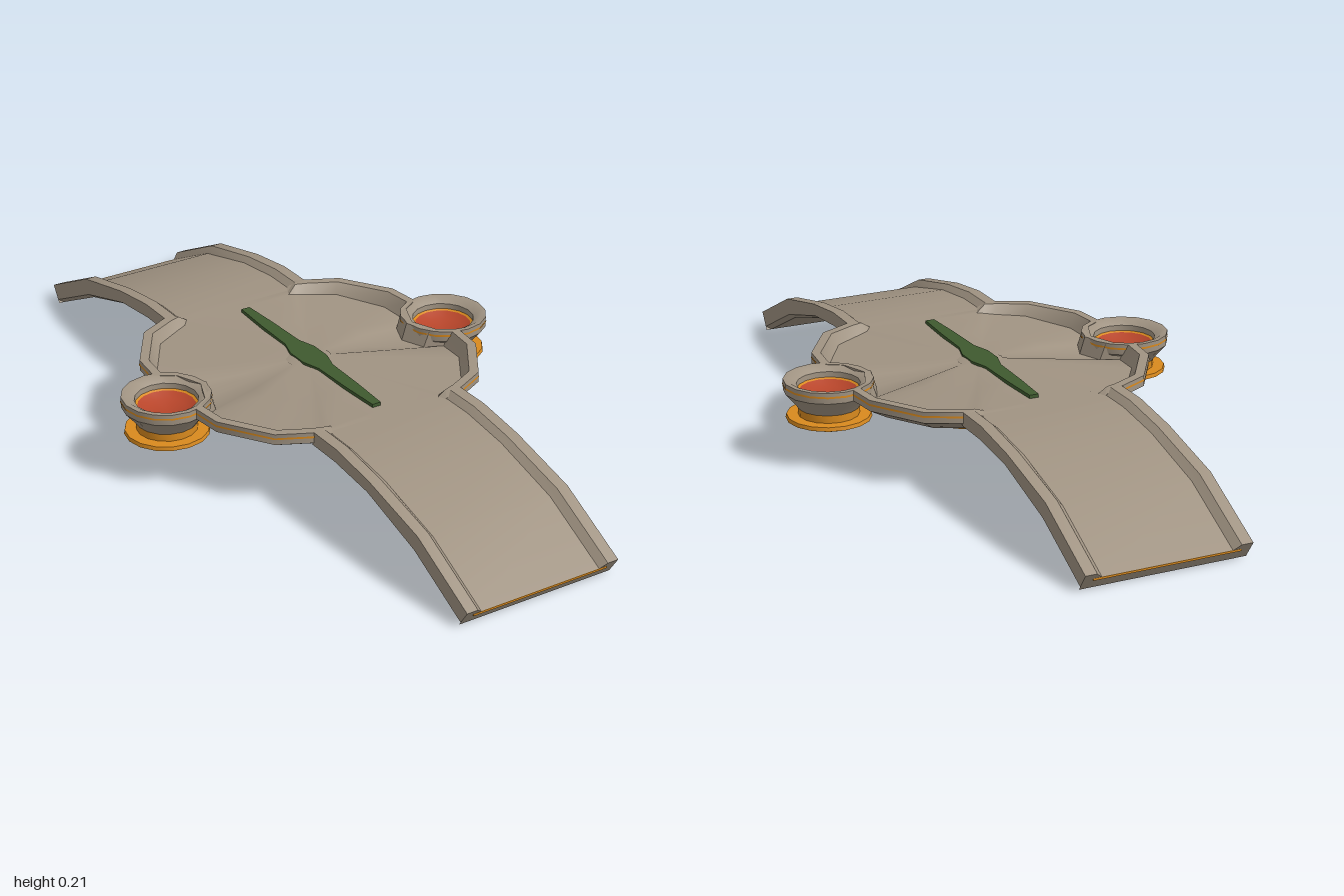
import * as THREE from 'three';
import { toCreasedNormals } from 'three/addons/utils/BufferGeometryUtils.js';

const mat = (name, color) => new THREE.MeshStandardMaterial({ name, color });

// Skins a series of closed rings of [x, y, z] points
function loft(rings, crease = 0.6) {
  const n = rings[0].length, pos = [], idx = [];
  rings.forEach(r => r.forEach(p => pos.push(...p)));
  for (let i = 0; i < rings.length - 1; i++) {
    for (let j = 0; j < n; j++) {
      const k = (j + 1) % n, a = i * n + j, b = i * n + k, c = b + n, d = a + n;
      idx.push(a, b, c, a, c, d);
    }
  }
  const g = new THREE.BufferGeometry();
  g.setAttribute('position', new THREE.Float32BufferAttribute(pos, 3));
  g.setIndex(idx);
  return toCreasedNormals(g, crease);
}

// Turned part from [radius, y] points, bottom to top
function lathe(points, sides, crease = 0.6) {
  const g = new THREE.LatheGeometry(points.map(p => new THREE.Vector2(...p)), sides);
  return toCreasedNormals(g, crease);
}

export function createModel() {
  const model = new THREE.Group();
  const shell = mat('warm grey shell', 0xa09382);
  const red = mat('rust red', 0xb8452a);
  const orange = mat('amber trim', 0xd98a1e);
  const green = mat('dark green', 0x3f5a2f);

  const add = (name, geometry, material, parent = model) => {
    const m = new THREE.Mesh(geometry, material);
    m.name = name;
    parent.add(m);
    return m;
  };

  // Body outline, one quarter: x, z, has rim, floor height
  const quarter = [
    [0, 0.37, 0, 0.195], [0.165, 0.37, 0, 0.195], [0.19, 0.37, 1, 0.19],
    [0.22, 0.36, 1, 0.186], [0.3, 0.32, 1, 0.182], [0.385, 0.19, 1, 0.173],
    [0.395, 0.1, 1, 0.168], [0.347, 0.07, 1, 0.165], [0.318, 0, 1, 0.165],
  ];
  const flip = (pts, sx, sz) => pts.map(([x, z, r, f]) => [x * sx, z * sz, r, f]);
  const half = [...quarter, ...flip(quarter, 1, -1).reverse().slice(1)];
  const outline = [...half, ...flip(half, -1, 1).reverse().slice(1, -1)];
  const ring = (scale, height) =>
    outline.map(([x, z, rim, floor]) => [x * scale, height(rim, floor), z * scale]);

  // Dished body with a raised rim
  const rimTop = (rim, floor) => (rim ? 0.21 : floor);
  add('body', loft([
    ring(0, () => 0.15), ring(0.85, () => 0.146), ring(1, () => 0.182),
    ring(1, rimTop), ring(0.945, rimTop), ring(0.9, (r, f) => f),
    ring(0.5, (r, f) => (f + 0.195) / 2), ring(0, () => 0.2),
  ]), shell);
  add('bodyTrim', loft([
    ring(1.003, r => (r ? 0.196 : 0.172)), ring(1.003, r => (r ? 0.201 : 0.177)),
  ]), orange);

  // Straps: rail-top and underside paths as z, y
  const top = [[0.355, 0.21], [0.46, 0.21], [0.6, 0.191], [0.8, 0.145], [1, 0.045]];
  const under = [[0.355, 0.165], [0.45, 0.165], [0.59, 0.152], [0.785, 0.092], [0.97, 0]];
  // Cross-section: x, depth between the two paths
  const side = [[0.2, 1], [0.215, 0.8], [0.215, 0], [0.185, 0], [0.168, 0.33]];
  const section = [...side, ...side.map(([x, d]) => [-x, d]).reverse()];
  const strapRing = (i, flat) => section.map(([x, depth]) => {
    const d = flat ? 1 : depth;
    return [x, THREE.MathUtils.lerp(top[i][1], under[i][1], d),
      THREE.MathUtils.lerp(top[i][0], under[i][0], d)];
  });
  const strapGeometry = loft([...top.map((_, i) => strapRing(i)), strapRing(4, true)]);
  for (const [name, turn] of [['frontStrap', 0], ['backStrap', Math.PI]]) {
    const strap = new THREE.Group();
    strap.name = name;
    strap.rotation.y = turn;
    add('strapBand', strapGeometry, shell, strap);
    const edge = add('strapEndTrim', new THREE.BoxGeometry(0.38, 0.005, 0.004), orange, strap);
    edge.position.set(0, 0.028, 0.989);
    model.add(strap);
  }

  // Side cups with amber caps underneath
  const cupParts = [
    ['cupShell', [[0.078, 0.138], [0.09, 0.155], [0.113, 0.182], [0.113, 0.21],
      [0.1, 0.21], [0.08, 0.197], [0.078, 0.165]], shell],
    ['cupTrim', [[0.1145, 0.196], [0.1145, 0.201]], orange],
    ['cupInnerRing', [[0.079, 0.183], [0.072, 0.179]], orange],
    ['cupFloor', [[0.073, 0.18], [0.05, 0.168], [0, 0.162]], red],
    ['cupCap', [[0, 0.072], [0.055, 0.087], [0.108, 0.108], [0.106, 0.118],
      [0.077, 0.118], [0.077, 0.142]], orange],
  ].map(([name, points, material]) => [name, lathe(points, 16), material]);
  for (const s of [1, -1]) {
    const cup = new THREE.Group();
    cup.name = s > 0 ? 'leftCup' : 'rightCup';
    cup.position.x = 0.416 * s;
    cupParts.forEach(([name, g, m]) => add(name, g, m, cup));
    model.add(cup);
  }

  // Shallow dome on the underside
  add('underDome', lathe([[0, 0.085], [0.1, 0.092], [0.22, 0.109], [0.345, 0.138]], 32), red);
  add('underDomeTrim', lathe([[0.345, 0.138], [0.347, 0.144], [0.28, 0.147]], 32), orange);

  // Slim pointed inlay along the middle, on a low mound
  const inlayQuarter = [[0.012, 0.31], [0.018, 0.2], [0.021, 0.08], [0.036, 0.03]];
  const right = [...inlayQuarter, ...inlayQuarter.map(([x, z]) => [x, -z]).reverse()];
  const inlayOutline = [...right, ...right.map(([x, z]) => [-x, z]).reverse()];
  const shape = new THREE.Shape(inlayOutline.map(([x, z]) => new THREE.Vector2(x, z)));
  const inlay = add('inlay',
    new THREE.ExtrudeGeometry(shape, { depth: 0.009, bevelEnabled: false }), green);
  inlay.rotation.x = -Math.PI / 2;
  inlay.position.y = 0.195;
  add('inlayMound', lathe([[0.06, 0.195], [0.03, 0.202], [0, 0.203]], 16), shell);

  return model;
}
